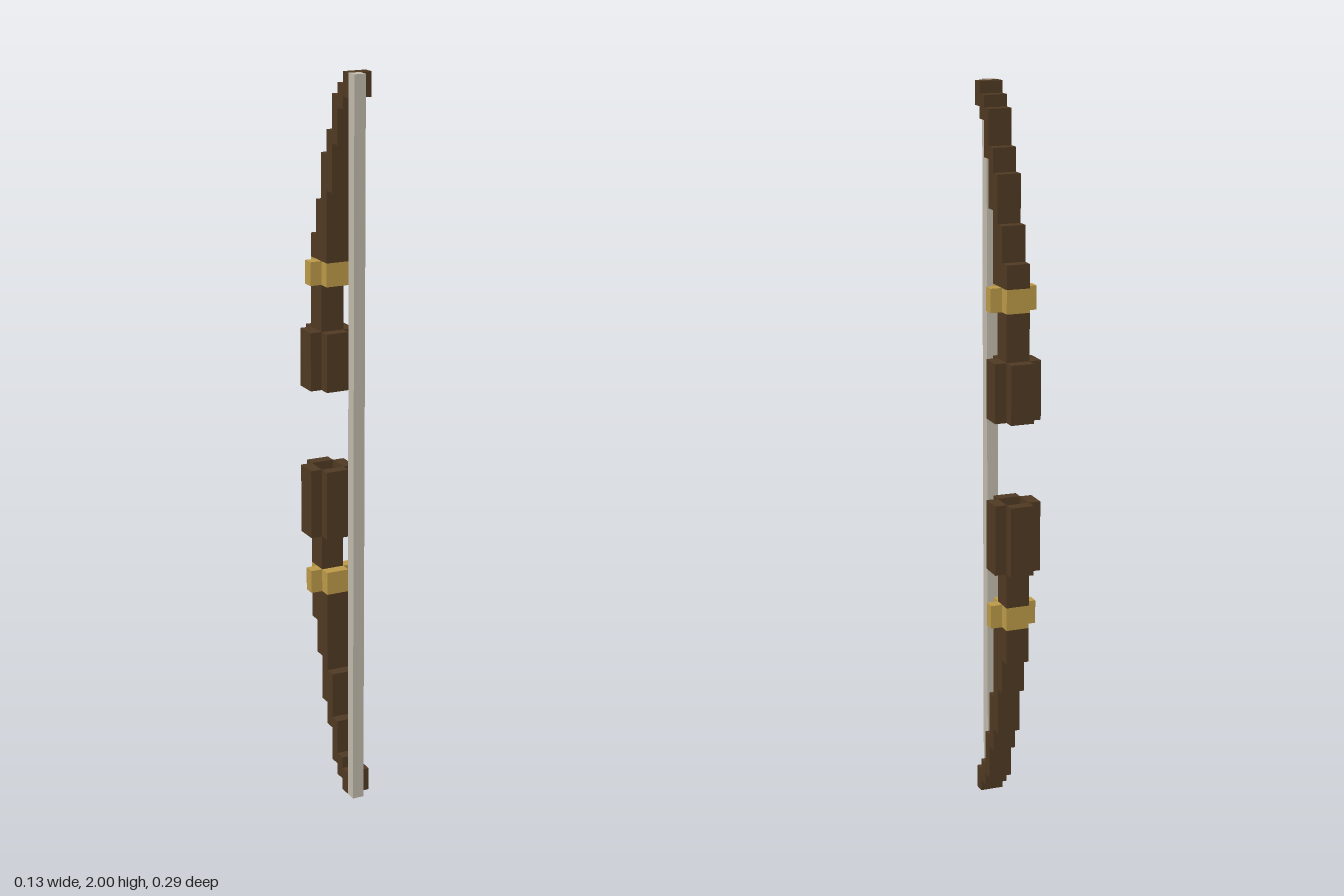
import * as THREE from 'three';

// The bow is laid out on a cube grid: 62 cells tall, 9 cells deep.
const U = 2 / 62;

function mat(name, color) {
  const m = new THREE.MeshStandardMaterial({ color });
  m.name = name;
  return m;
}

export function createModel() {
  const wood = mat('dark wood', 0x503a23);
  const gold = mat('gold', 0xbc9a49);
  const cord = mat('pale cord', 0xc2bbad);
  const bow = new THREE.Group();
  bow.name = 'bow';

  // Box from cell ranges; depth cells are counted from the front (0) to the back (9)
  function block(parent, name, material, [x0, x1], [y0, y1], [d0, d1]) {
    const geo = new THREE.BoxGeometry((x1 - x0) * U, (y1 - y0) * U, (d1 - d0) * U);
    const mesh = new THREE.Mesh(geo, material);
    mesh.position.set((x0 + x1) / 2 * U, (y0 + y1) / 2 * U, (4.5 - (d0 + d1) / 2) * U);
    mesh.name = name;
    parent.add(mesh);
  }

  // Bowstring
  block(bow, 'bowstring', cord, [-1, 0], [0, 62], [0, 1]);

  const mid = [-1, 1];
  const sides = [[-2, -1], [1, 2]];

  // One limb: steps list [tip-side row, grip-side row] for each depth cell from the tip
  function limb(name, steps, band, grip, coreEnd) {
    const g = new THREE.Group();
    g.name = name;
    bow.add(g);
    const rows = (a, b) => [Math.min(a, b), Math.max(a, b)];
    steps.forEach(([a, b], i) => block(g, 'limbStep', wood, mid, rows(a, b), [i + 1, i + 2]));

    // Core behind the steps, interrupted on the back by the gold band
    const [bandTip, bandGrip] = band;
    const [tip6, tip7] = coreEnd.tips;
    block(g, 'limbCore', wood, mid, rows(tip6, coreEnd.end), [6, 7]);
    block(g, 'limbBack', wood, mid, rows(tip7, bandTip), [7, 8]);
    block(g, 'limbBack', wood, mid, rows(bandGrip, coreEnd.end), [7, 8]);

    // Gold band around the limb
    const bandRows = rows(bandTip, bandGrip);
    block(g, 'bandFront', gold, mid, bandRows, [5, 6]);
    block(g, 'bandBack', gold, mid, bandRows, [7, 8]);
    for (const s of sides) block(g, 'bandSide', gold, s, bandRows, [6, 7]);

    // Grip sleeve around the recessed core
    const gripRows = rows(...grip);
    block(g, 'gripFront', wood, mid, gripRows, [5, 6]);
    block(g, 'gripBack', wood, mid, gripRows, [8, 9]);
    for (const s of sides) block(g, 'gripSide', wood, s, gripRows, [6, 8]);
  }

  limb('upperLimb',
    [[62, 60], [61, 59], [60, 56], [57, 52], [55, 46]],
    [46, 44], [40, 35], { tips: [51, 48], end: 36 });
  limb('lowerLimb',
    [[0, 2], [1, 3], [2, 6], [5, 10], [7, 17]],
    [17, 19], [22, 28], { tips: [11, 14], end: 27 });

  return bow;
}
